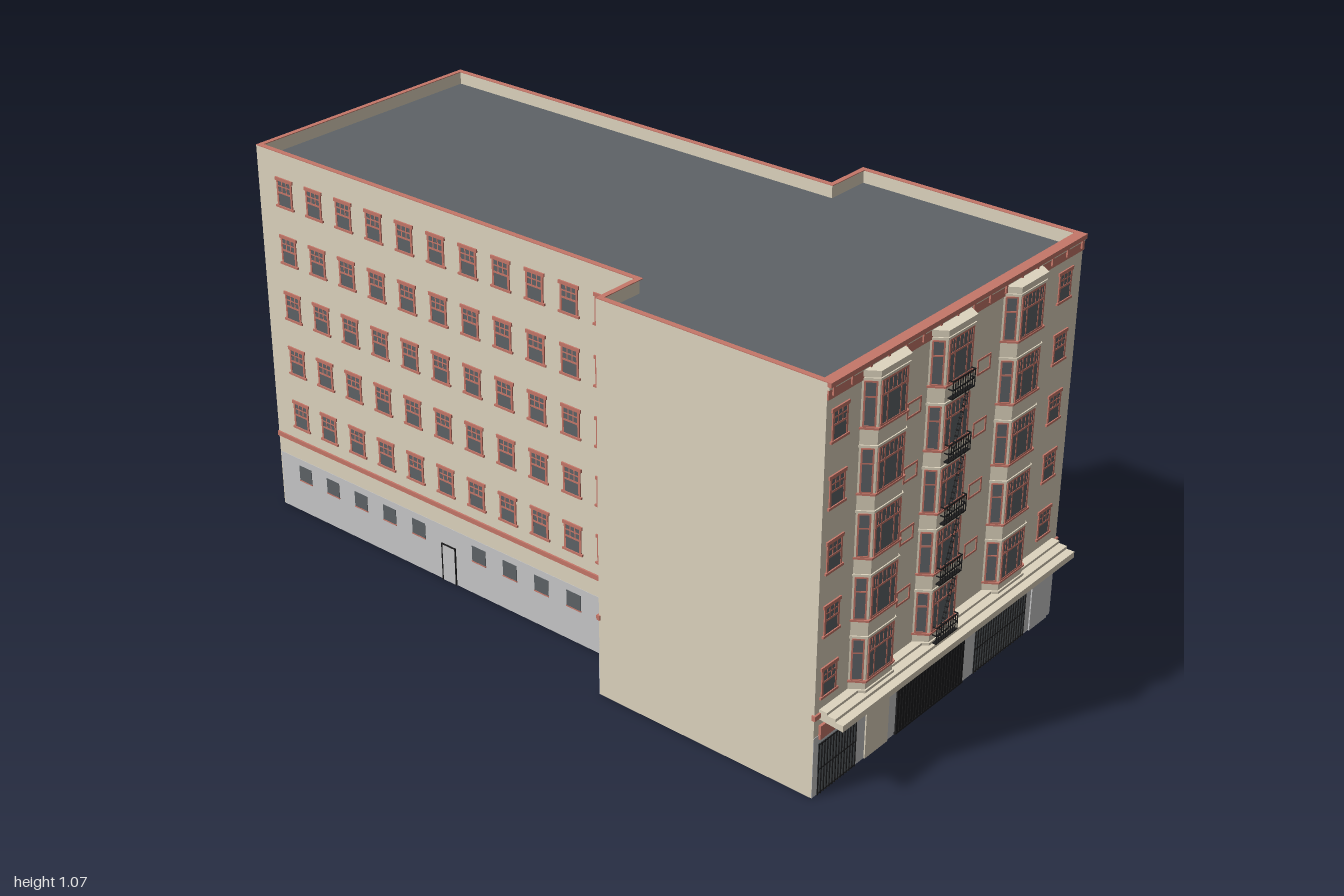
import * as THREE from 'three';
import { mergeGeometries } from 'three/addons/utils/BufferGeometryUtils.js';

const paint = (name, color) => Object.assign(new THREE.MeshStandardMaterial({ color }), { name });

export function createModel() {
  const cream = paint('cream stucco', 0xdfd5bf), red = paint('terracotta red', 0xc67769);
  const grey = paint('grey base', 0xc8c8c9), slate = paint('slate glass and roof', 0x5e6367);
  const black = paint('black iron', 0x1b1b1c);
  const model = new THREE.Group();
  model.name = 'apartmentBuilding';

  // Main dimensions: front block and rear wing, right (-x) and left (+x) sides
  const XR = -0.515, XL = 0.508, RR = -0.381, RL = 0.374;
  const ZF = 0.933, ZS = 0.29, ZB = -1, H = 1.068, BASE = 0.165;
  const stepR = (XR + RR) / 2, stepL = (XL + RL) / 2, MID = (XR + XL) / 2, WIDTH = XL - XR;

  // Collects the pieces of one part and merges them per colour
  function part(name) {
    const lists = new Map();
    const frame = new THREE.Object3D();
    const add = (mat, geo) => {
      if (!lists.has(mat)) lists.set(mat, []);
      lists.get(mat).push(geo.index ? geo.toNonIndexed() : geo);
    };
    return {
      add,
      at(x, y, z, ry = 0) {
        frame.position.set(x, y, z);
        frame.rotation.set(0, ry, 0);
        frame.updateMatrix();
      },
      box(mat, x, y, z, w, h, d, rz = 0) {
        add(mat, new THREE.BoxGeometry(w, h, d).rotateZ(rz).translate(x, y, z).applyMatrix4(frame.matrix));
      },
      done() {
        const group = new THREE.Group();
        group.name = name;
        for (const [mat, geos] of lists) {
          const mesh = new THREE.Mesh(mergeGeometries(geos), mat);
          mesh.name = `${name} ${mat.name}`;
          group.add(mesh);
        }
        model.add(group);
      },
    };
  }

  // T-shaped plan, inset by d; plan y is -z
  const plan = (d) => [[XR + d, -ZF + d], [XL - d, -ZF + d], [XL - d, -ZS - d], [RL - d, -ZS - d],
    [RL - d, -ZB - d], [RR + d, -ZB - d], [RR + d, -ZS - d], [XR + d, -ZS - d]].map((p) => new THREE.Vector2(...p));
  function prism(points, y0, y1, hole) {
    const shape = new THREE.Shape(points);
    if (hole) shape.holes.push(new THREE.Path(hole));
    return new THREE.ExtrudeGeometry(shape, { depth: y1 - y0, bevelEnabled: false }).rotateX(-Math.PI / 2).translate(0, y0, 0);
  }

  // Walls, open underneath, with a grey lining, coping and sunken roof
  const walls = part('walls');
  walls.add(cream, prism(plan(0), 0, H - 0.002, plan(0.008)));
  walls.add(grey, prism(plan(0.008), 0, 1.02, plan(0.01)));
  walls.done();
  const roof = part('roof');
  roof.add(slate, prism(plan(0.008), 1.022, 1.03));
  roof.add(grey, prism(plan(0.009), 1.016, 1.021));
  roof.add(red, prism(plan(0), H - 0.002, H, plan(0.014)));
  roof.done();

  // Grey base facing and red belt course on the windowed walls
  const base = part('baseFacing'), belt = part('beltCourse');
  function facing(x, z, w, ry) {
    base.at(x, 0, z, ry);
    base.box(grey, 0, BASE / 2, 0, w, BASE, 0.002);
    belt.at(x, 0, z, ry);
    belt.box(red, 0, 0.222, 0, w + 0.008, 0.013, 0.01);
  }
  facing(RR, (ZS + ZB) / 2, ZS - ZB - 0.008, -Math.PI / 2);
  facing(RL, (ZS + ZB) / 2, ZS - ZB - 0.008, Math.PI / 2);
  facing(XL, (ZF + ZS) / 2, ZF - ZS, Math.PI / 2);
  facing(stepR, ZS, RR - XR, Math.PI);
  facing(stepL, ZS, XL - RL, Math.PI);
  facing(MID, ZF, WIDTH, 0);
  base.done();
  belt.done();

  // Sash window with lintel, sill and divided upper half
  const rows = [0, 1, 2, 3, 4].map((i) => 0.305 + 0.1628 * i);
  function sash(p) {
    p.box(slate, 0, 0, 0.0005, 0.05, 0.074, 0.003);
    for (const s of [-1, 1]) {
      p.box(red, s * 0.025, 0, 0.001, 0.006, 0.074, 0.004);
      p.box(red, s * 0.008, 0.018, 0.001, 0.0035, 0.036, 0.003);
    }
    p.box(red, 0, 0.018, 0.001, 0.05, 0.0035, 0.003);
    p.box(red, 0, 0, 0.001, 0.05, 0.005, 0.004);
    p.box(red, 0, 0.037, 0.0015, 0.064, 0.009, 0.005);
    p.box(red, 0, -0.039, 0.0015, 0.066, 0.006, 0.007);
  }
  const baseWindow = (p) => {
    p.box(slate, 0, 0, 0.001, 0.048, 0.046, 0.003);
    p.box(red, 0, -0.023, 0.0015, 0.05, 0.003, 0.004);
  };
  const door = (p) => {
    p.box(grey, 0, 0.055, 0.001, 0.048, 0.11, 0.004);
    for (const s of [-1, 1]) p.box(black, s * 0.024, 0.055, 0.002, 0.003, 0.11, 0.005);
    p.box(black, 0, 0.11, 0.002, 0.051, 0.003, 0.005);
    p.box(slate, 0, 0.055, -0.009, 0.044, 0.108, 0.005);
  };
  const rearZ = Array.from({ length: 11 }, (_, i) => 0.198 - 0.1098 * i);
  const frontZ = [0.835, 0.724, 0.612, 0.5, 0.39];
  const wins = part('windows'), baseWins = part('baseWindows'), doors = part('sideDoors');
  function sideColumn(x, z, ry, hasDoor) {
    for (const y of rows) { wins.at(x, y, z, ry); sash(wins); }
    const p = hasDoor ? doors : baseWins;
    p.at(x, hasDoor ? 0 : 0.122, z, ry);
    (hasDoor ? door : baseWindow)(p);
  }
  rearZ.forEach((z, i) => {
    sideColumn(RR, z, -Math.PI / 2, i === 5);
    sideColumn(RL, z, Math.PI / 2, i === 5);
  });
  frontZ.forEach((z, i) => sideColumn(XL, z, Math.PI / 2, i === 2));
  sideColumn(stepR, ZS, Math.PI, true);
  doors.at(stepL, 0, ZS, Math.PI);
  door(doors);
  for (const x of [-0.466, 0.436]) for (const y of rows) { wins.at(x, y, ZF); sash(wins); }
  [wins, baseWins, doors].forEach((p) => p.done());

  // Three canted bays with tripartite windows
  const bayX = [-0.313, -0.057, 0.24], HB = 0.078, HFR = 0.053, ZBAY = 0.965;
  const trap = (cx, g = 0) => [[-HB - g, -ZF + 0.002], [-HFR - g, -ZBAY - g], [HFR + g, -ZBAY - g], [HB + g, -ZF + 0.002]]
    .map(([x, y]) => new THREE.Vector2(cx + x, y));
  const bays = part('bayWindows');
  for (const cx of bayX) {
    bays.add(cream, prism(trap(cx), 0.222, 1.045));
    bays.add(cream, prism(trap(cx, 0.004), 1.035, 1.05));
    bays.add(cream, prism(trap(cx, 0.004), 0.222, 0.236));
    for (const y0 of rows) {
      const y = y0 + 0.012;
      bays.add(cream, prism(trap(cx, 0.003), y + 0.057, y + 0.063));
      bays.add(red, prism(trap(cx, 0.004), y - 0.061, y - 0.056));
      bays.at(cx, y, ZBAY);
      bays.box(slate, 0, 0, 0, 0.094, 0.108, 0.003);
      for (const s of [-1, 1]) {
        bays.box(red, s * 0.046, 0, 0.0005, 0.006, 0.112, 0.004);
        bays.box(red, s * 0.025, 0, 0.0005, 0.0045, 0.108, 0.0035);
        bays.box(red, s * 0.036, 0.036, 0.0005, 0.0025, 0.036, 0.0035);
        bays.box(red, s * 0.008, 0.036, 0.0005, 0.0025, 0.036, 0.0035);
      }
      for (const h of [-0.054, 0.018, 0.054]) bays.box(red, 0, h, 0.0005, 0.094, 0.005, 0.004);
      // Narrow lights on the slanted cheeks
      for (const s of [-1, 1]) {
        bays.at(cx + s * (HB + HFR) / 2, y, (ZF + ZBAY) / 2, s * Math.atan2(ZBAY - ZF, HB - HFR));
        bays.box(slate, 0, 0, 0, 0.026, 0.108, 0.003);
        for (const t of [-1, 1]) bays.box(red, t * 0.013, 0, 0.0005, 0.004, 0.11, 0.004);
        for (const h of [-0.054, 0.018, 0.054]) bays.box(red, 0, h, 0.0005, 0.026, 0.004, 0.004);
      }
    }
  }
  bays.done();

  // Framed plaques between the bays
  const plaques = part('wallPlaques');
  for (const x of [-0.184, 0.097]) for (let i = 0; i < 4; i++) {
    plaques.at(x, 0.387 + 0.163 * i, ZF);
    for (const s of [-1, 1]) {
      plaques.box(red, 0, s * 0.018, 0.0005, 0.056, 0.005, 0.003);
      plaques.box(red, s * 0.0255, 0, 0.0005, 0.005, 0.036, 0.003);
    }
  }
  plaques.done();

  // Front cornice with brackets
  const cornice = part('cornice');
  cornice.box(red, MID, 1.062, 0.929, WIDTH, 0.012, 0.028);
  cornice.box(cream, MID, 1.053, ZF + 0.002, WIDTH, 0.008, 0.006);
  cornice.box(red, MID, 1.037, ZF + 0.001, WIDTH, 0.023, 0.006);
  for (let i = 0; i < 16; i++) cornice.box(red, -0.5 + i * 0.0662, 1.045, ZF + 0.005, 0.006, 0.022, 0.007);
  cornice.done();

  // Stepped canopy over the ground floor
  const canopy = part('canopy');
  const steps = [[0, 0.21], [0.067, 0.204], [0.067, 0.221], [0.045, 0.221], [0.045, 0.229], [0.022, 0.229], [0.022, 0.236], [0, 0.236]];
  canopy.add(cream, new THREE.ExtrudeGeometry(new THREE.Shape(steps.map((p) => new THREE.Vector2(...p))), { depth: 0.985, bevelEnabled: false })
    .rotateY(-Math.PI / 2).translate(0.488, 0, ZF));
  canopy.done();

  // Ground floor front: shop grilles, doors, gate and blank sign panel
  const shop = part('groundFloorFront');
  shop.at(0, 0, ZF);
  for (const [x0, x1] of [[-0.497, -0.352], [0.148, 0.375]]) {
    const w = x1 - x0, cx = (x0 + x1) / 2, n = Math.round(w / 0.0115);
    shop.box(slate, cx, 0.072, 0.001, w, 0.143, 0.004);
    for (let i = 0; i <= n; i++) shop.box(black, x0 + (w * i) / n, 0.072, 0.004, 0.0025, 0.143, 0.002);
    for (const y of [0.005, 0.072, 0.141]) shop.box(black, cx, y, 0.004, w, 0.0025, 0.002);
  }
  shop.box(cream, -0.266, 0.08, 0.002, 0.092, 0.16, 0.005);
  shop.box(grey, 0.446, 0.079, 0.002, 0.082, 0.158, 0.005);
  shop.box(red, -0.415, 0.174, 0.003, 0.164, 0.037, 0.008);
  shop.box(slate, -0.045, 0.077, -0.009, 0.288, 0.153, 0.005);
  for (let i = 0; i < 24; i++) shop.box(black, -0.182 + i * 0.0119, 0.077, 0.003, 0.0092, 0.153, 0.005);
  for (const y of [0.004, 0.151]) shop.box(black, -0.045, y, 0.003, 0.288, 0.006, 0.006);
  shop.done();

  // Iron balconies and ladders on the middle bay
  const escape = part('fireEscape');
  const levels = [0.23, 0.392, 0.554, 0.716, 0.878];
  levels.forEach((y, k) => {
    escape.at(-0.056, y, 0.973);
    escape.box(black, 0, 0, 0, 0.09, 0.003, 0.012);
    for (const h of [0.022, 0.044]) {
      escape.box(black, 0, h, 0.006, 0.09, 0.0025, 0.0025);
      for (const s of [-1, 1]) escape.box(black, s * 0.044, h, 0, 0.0025, 0.0025, 0.012);
    }
    for (let i = 0; i <= 9; i++) escape.box(black, -0.044 + i * 0.0098, 0.022, 0.006, 0.0018, 0.046, 0.002);
    if (k === levels.length - 1) return;
    const rise = 0.162, run = 0.055, tilt = Math.atan2(rise, run);
    for (const z of [-0.003, 0.004]) escape.box(black, 0, rise / 2, z, Math.hypot(rise, run), 0.001, 0.001, tilt);
    for (let i = 1; i < 12; i++) escape.box(black, run * (i / 12 - 0.5), (rise * i) / 12, 0, 0.005, 0.0015, 0.008);
  });
  escape.done();

  return model;
}
